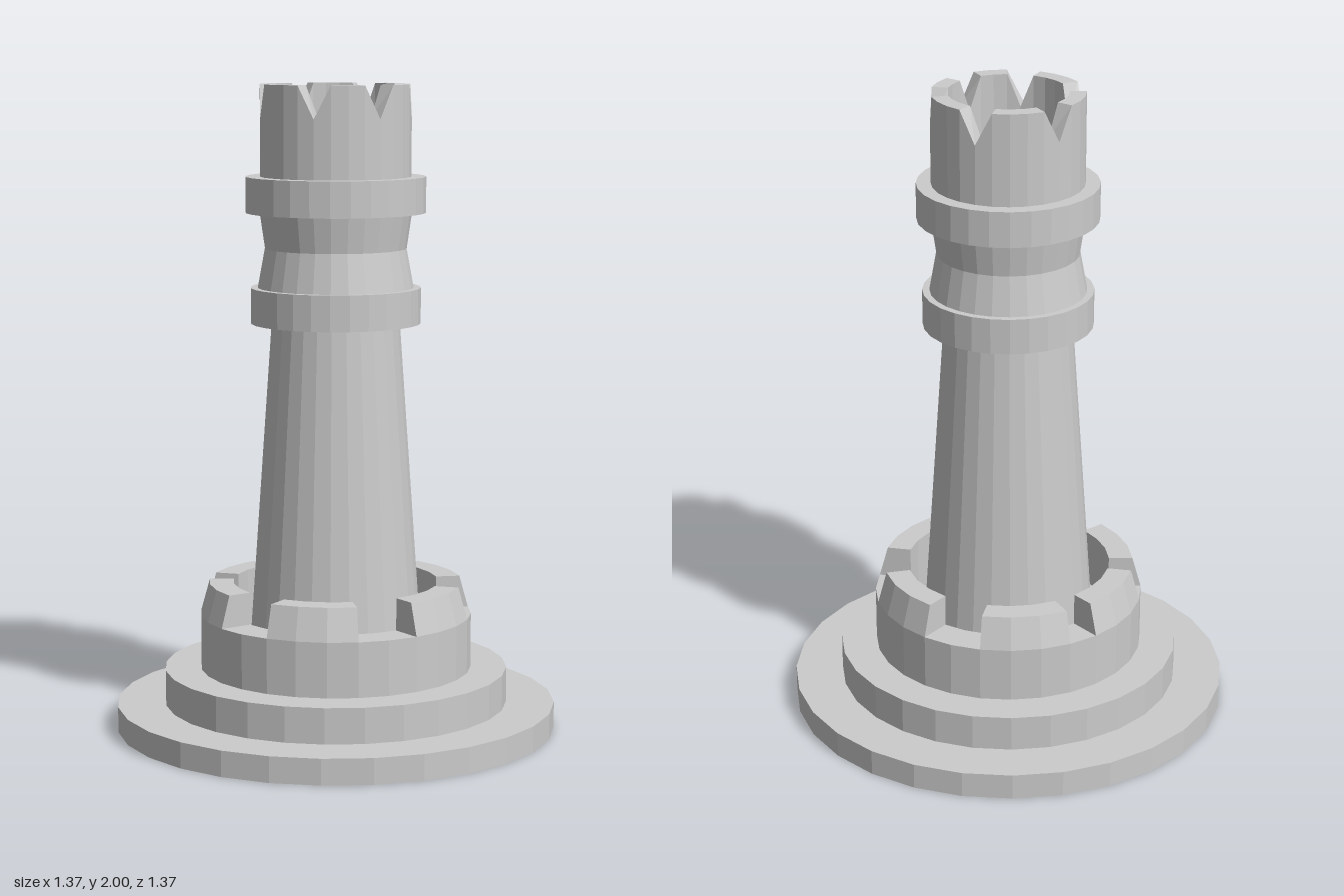
import * as THREE from 'three';

const SIDES = 28;
const material = new THREE.MeshStandardMaterial({ color: 0xcccccc, flatShading: true, side: THREE.DoubleSide });

// Solid of revolution from [radius, height] pairs, listed bottom to top
function turned(name, profile) {
  const points = profile.map(([r, y]) => new THREE.Vector2(r, y));
  const mesh = new THREE.Mesh(new THREE.LatheGeometry(points, SIDES), material);
  mesh.name = name;
  return mesh;
}

// Sweeps a four-point section around the axis from side k0 to k1.
// section(k) lists inner bottom, outer bottom, outer top, inner top.
function swept(name, k0, k1, section) {
  const positions = [];
  const ring = (k) => section(k).map(([r, y]) => {
    const a = (k / SIDES) * Math.PI * 2;
    return [r * Math.sin(a), y, -r * Math.cos(a)];
  });
  const quad = (a, b, c, d) => positions.push(...a, ...b, ...c, ...a, ...c, ...d);
  for (let k = k0; k < k1; k++) {
    const p = ring(k), q = ring(k + 1);
    for (let j = 0; j < 4; j++) {
      const n = (j + 1) % 4;
      quad(p[j], p[n], q[n], q[j]);
    }
  }
  if (k1 - k0 < SIDES) {
    quad(...ring(k0).reverse());
    quad(...ring(k1));
  }
  const geometry = new THREE.BufferGeometry();
  geometry.setAttribute('position', new THREE.Float32BufferAttribute(positions, 3));
  geometry.computeVertexNormals();
  const mesh = new THREE.Mesh(geometry, material);
  mesh.name = name;
  return mesh;
}

export function createModel() {
  const model = new THREE.Group();
  model.name = 'towerPiece';

  // Stepped foot with a sunken floor around the shaft
  model.add(turned('steppedBase', [
    [0, 0], [0.685, 0], [0.685, 0.08], [0.535, 0.08], [0.535, 0.19],
    [0.423, 0.19], [0.423, 0.36], [0.32, 0.36], [0.32, 0.28], [0, 0.28],
  ]));

  // Battlements on the foot, leaning inward on their outer faces
  const battlements = new THREE.Group();
  battlements.name = 'baseBattlements';
  for (const start of [-2, 2, 7, 12, 17, 22]) {
    battlements.add(swept('merlon', start, start + 3,
      () => [[0.32, 0.36], [0.423, 0.36], [0.395, 0.46], [0.32, 0.46]]));
  }
  model.add(battlements);

  // Tapered shaft, two collars and the waisted neck between them
  model.add(turned('shaft', [[0.267, 0.28], [0.198, 1.27]]));
  model.add(turned('lowerCollar', [[0, 1.27], [0.262, 1.27], [0.262, 1.38], [0, 1.38]]));
  model.add(turned('neck', [[0.24, 1.38], [0.218, 1.5], [0.234, 1.61]]));
  model.add(turned('upperCollar', [[0, 1.61], [0.277, 1.61], [0.277, 1.72], [0, 1.72]]));

  // Hollow crown with V-shaped notches in its rim
  const notches = [1, 6, 11, 15, 19, 24];
  model.add(swept('crown', 0, SIDES, (k) => {
    const top = notches.includes(k) ? 1.9 : 2;
    return [[0.182, 1.72], [0.232, 1.72], [0.232, top], [0.182, top]];
  }));

  return model;
}
